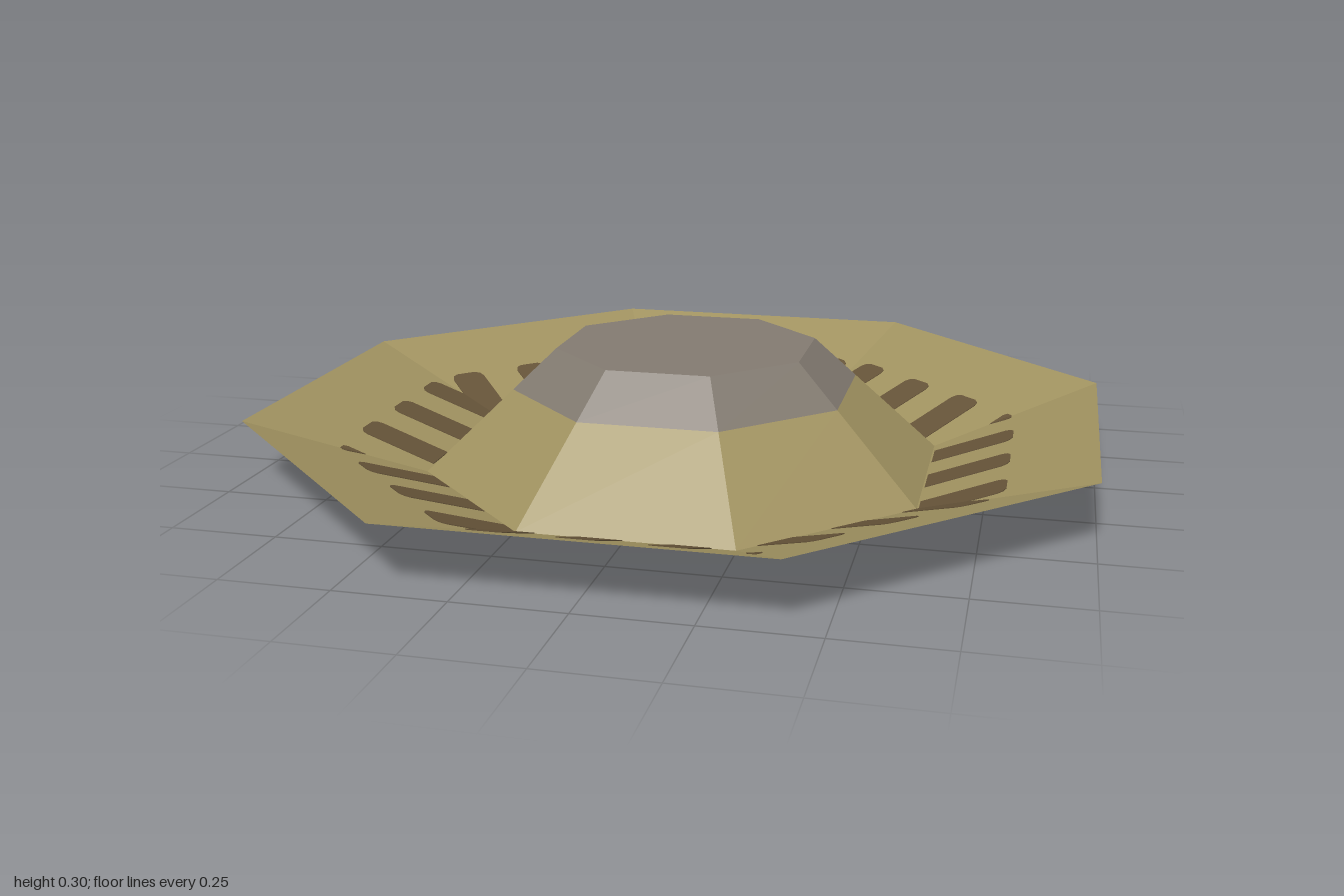
import * as THREE from 'three';

const SIDES = 8;
const toCorner = 1 / Math.cos(Math.PI / SIDES); // flat-to-centre distance -> corner radius

export function createModel() {
  const mat = (name, color) => {
    const m = new THREE.MeshStandardMaterial({ color, side: THREE.DoubleSide, flatShading: true });
    m.name = name;
    return m;
  };
  const olive = mat('olive', 0xa09260);
  const grey = mat('warm grey', 0x827a70);
  const brown = mat('dark brown', 0x655338);

  const model = new THREE.Group();
  model.name = 'octagonalDish';
  const add = (name, geometry, material) => {
    const mesh = new THREE.Mesh(geometry, material);
    mesh.name = name;
    model.add(mesh);
    return mesh;
  };

  // Open octagonal band between two heights, flats facing the axes
  const band = (rLow, yLow, rHigh, yHigh) =>
    new THREE.CylinderGeometry(rHigh * toCorner, rLow * toCorner, yHigh - yLow, SIDES, 1, true)
      .rotateY(Math.PI / SIDES)
      .translate(0, (yLow + yHigh) / 2, 0);

  add('flaredRim', band(0.6, 0, 1, 0.15), olive);
  add('crownLower', band(0.6, 0, 0.4, 0.2), olive);
  add('crownUpper', band(0.4, 0.2, 0.3, 0.3), grey);

  // Flat top of the crown
  const cap = new THREE.CircleGeometry(0.3 * toCorner, SIDES, Math.PI / SIDES)
    .rotateX(-Math.PI / 2)
    .translate(0, 0.3, 0);
  add('crownTop', cap, grey);

  // Slot outlines on one rim panel: [across, distance from centre]
  const slot = (a, b) => [
    [a, 0.605], [b, 0.605], [b, 0.78], [b - 0.006, 0.793], [b - 0.02, 0.8],
    [a + 0.02, 0.8], [a + 0.006, 0.793], [a, 0.78],
  ];
  const slots = [
    slot(-0.096, -0.002),
    slot(0.102, 0.196),
    // slot cut off by the panel's edge
    [[-0.2506, 0.605], [-0.202, 0.605], [-0.202, 0.78], [-0.208, 0.793], [-0.222, 0.8],
      [-0.275, 0.8], [-0.289, 0.793], [-0.295, 0.78], [-0.295, 0.712]],
    // sliver in the panel's other corner
    [[0.305, 0.736], [0.305, 0.78], [0.311, 0.79], [0.327, 0.79]],
  ];

  // Thin plates laid along the rim's slope, visible on both faces
  const slotPlate = (outline, flip) => {
    const shape = new THREE.Shape(outline.map(([u, r]) => new THREE.Vector2(u * flip, r)));
    const geo = new THREE.ExtrudeGeometry(shape, { depth: 0.004, bevelEnabled: false });
    const p = geo.attributes.position;
    for (let i = 0; i < p.count; i++) {
      const r = p.getY(i);
      p.setXYZ(i, p.getX(i), (r - 0.6) * 0.375 + 0.002 - p.getZ(i), r);
    }
    geo.computeVertexNormals();
    return geo;
  };

  // Neighbouring panels mirror each other
  for (let i = 0; i < SIDES; i++) {
    for (const outline of slots) {
      const mesh = add('rimSlot', slotPlate(outline, i % 2 ? -1 : 1), brown);
      mesh.rotation.y = (i * Math.PI * 2) / SIDES;
    }
  }
  return model;
}
